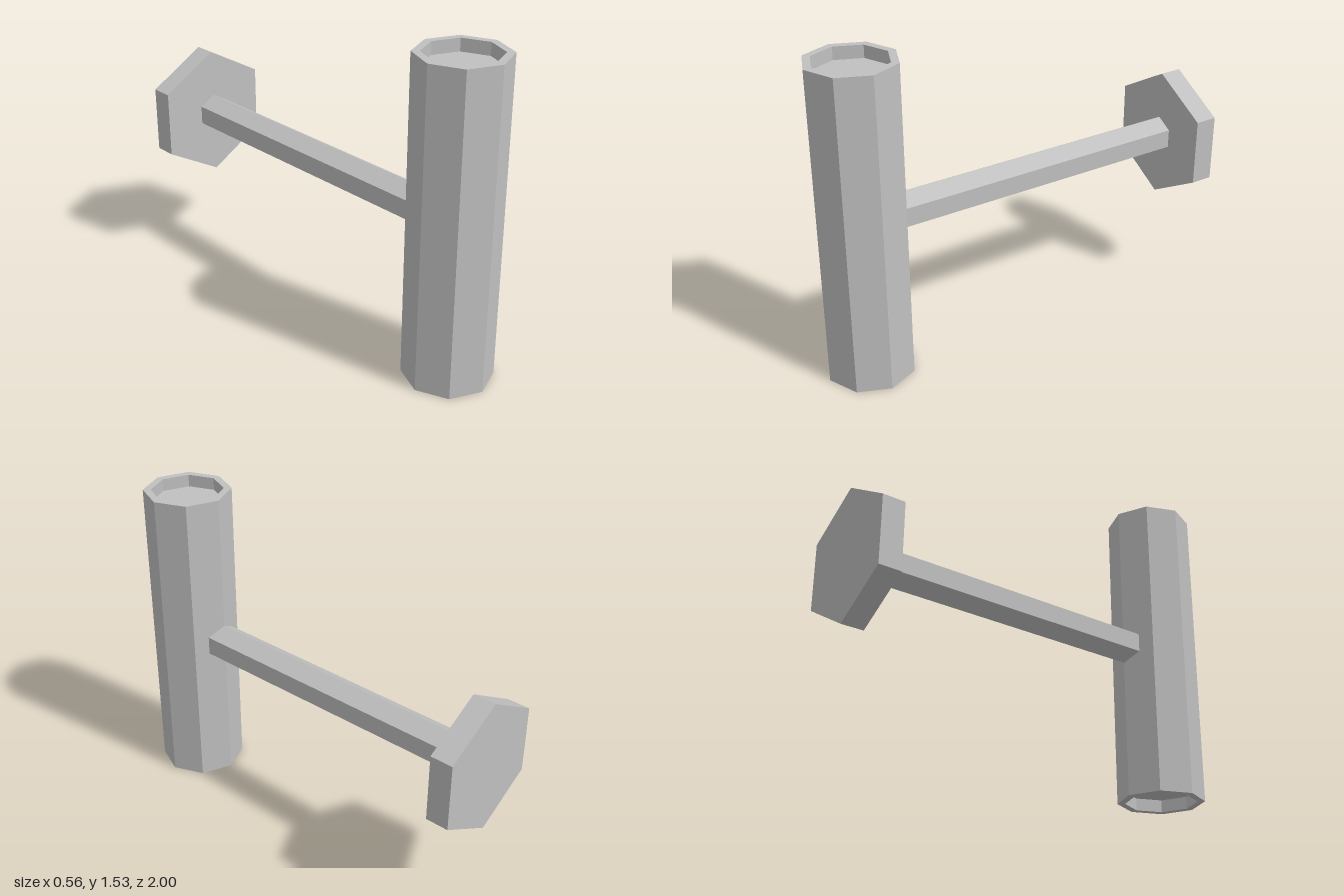
import * as THREE from 'three';

export function createModel() {
  const model = new THREE.Group();
  const grey = new THREE.MeshStandardMaterial({ color: 0xc0c0c0, flatShading: true });
  grey.name = 'grey';

  const add = (name, geometry, y, z) => {
    const mesh = new THREE.Mesh(geometry, grey);
    mesh.name = name;
    mesh.position.set(0, y, z);
    model.add(mesh);
  };

  // Hexagonal prism along z, corner up, between two z values
  const hexPrism = (radius, z0, z1) =>
    new THREE.CylinderGeometry(radius, radius, z1 - z0, 6)
      .rotateX(Math.PI / 2)
      .translate(0, 0, (z0 + z1) / 2);

  // Octagonal head with a shallow recess in both ends
  const R = 0.21, r = 0.173, H = 1.526, d = 0.06;
  const profile = [
    [0, d], [r, d], [r, 0], [R, 0],
    [R, H], [r, H], [r, H - d], [0, H - d],
  ].map(([x, y]) => new THREE.Vector2(x, y));
  add('head', new THREE.LatheGeometry(profile, 8), 0, 0.79);

  // Hexagonal handle running into the head, and the end plate
  add('handle', hexPrism(0.091, -0.9, 0.68), 0.767, 0);
  add('endPlate', hexPrism(0.325, -1, -0.89), 0.767, 0);

  return model;
}
